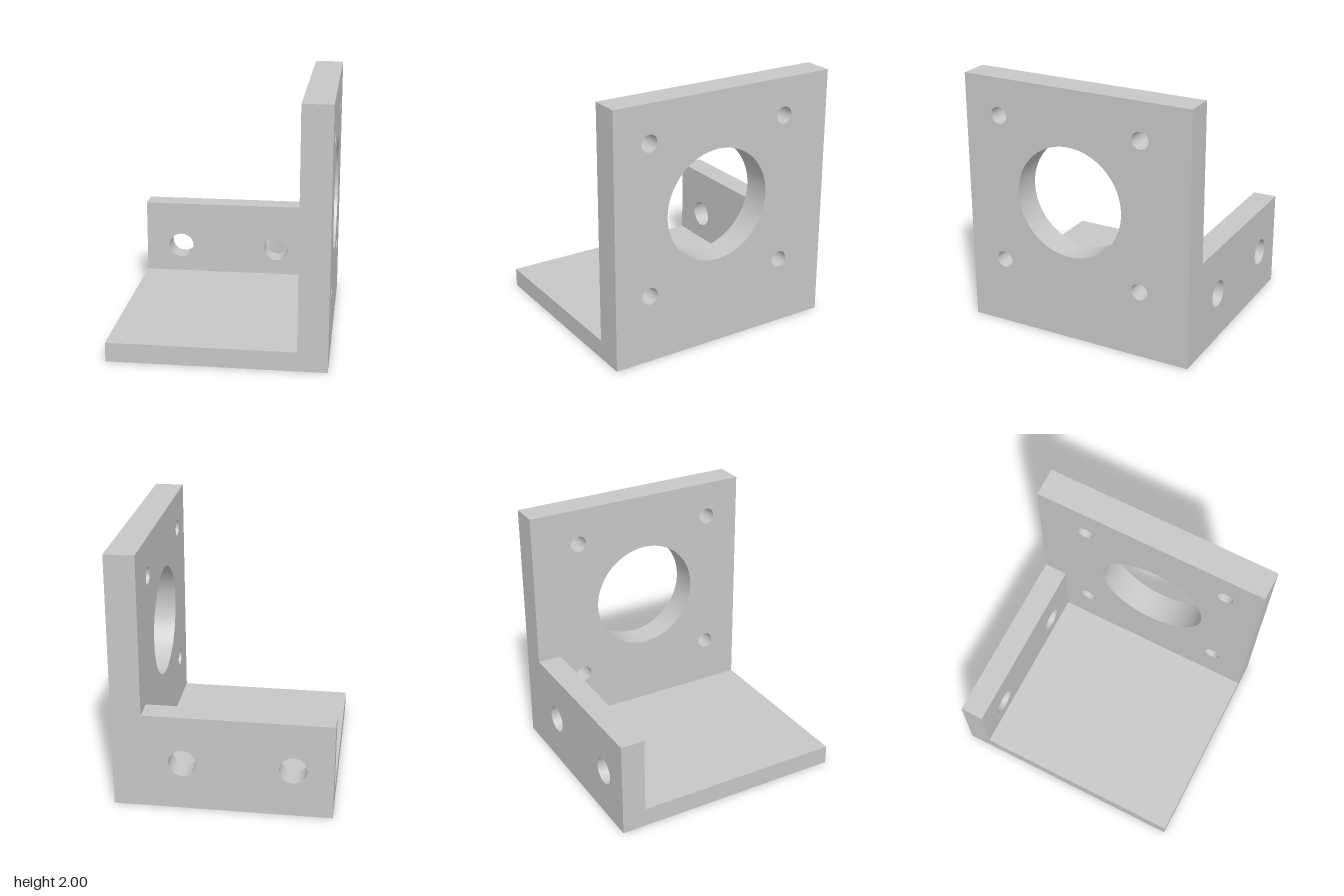
import * as THREE from 'three';
import { toCreasedNormals } from 'three/addons/utils/BufferGeometryUtils.js';

const W = 0.833, D = 0.93;            // half width, half depth
const PLATE = 0.228, WALL = 0.188;    // thicknesses
const BASE_H = 0.15, WALL_H = 0.76, HEIGHT = 2;

// Upright rectangular plate with round holes [u, v, radius]
function drilledPlate(u0, u1, height, depth, holes) {
  const shape = new THREE.Shape([
    new THREE.Vector2(u0, 0), new THREE.Vector2(u1, 0),
    new THREE.Vector2(u1, height), new THREE.Vector2(u0, height),
  ]);
  for (const [u, v, r] of holes) {
    shape.holes.push(new THREE.Path().absarc(u, v, r, 0, Math.PI * 2, true));
  }
  const geo = new THREE.ExtrudeGeometry(shape, { depth, bevelEnabled: false, curveSegments: 48 });
  return toCreasedNormals(geo, 0.6);
}

export function createModel() {
  const group = new THREE.Group();
  group.name = 'motorBracket';
  const lightGrey = new THREE.MeshStandardMaterial({ color: 0xc7c7c7 });
  lightGrey.name = 'lightGrey';

  const add = (name, geo) => {
    const mesh = new THREE.Mesh(geo, lightGrey);
    mesh.name = name;
    group.add(mesh);
    return mesh;
  };

  // Tall mounting plate: central bore and four bolt holes
  const bore = { z: 0.055, y: 1.123 }, spacing = 0.587;
  const plateHoles = [[bore.z, bore.y, 0.437]];
  for (const sz of [-1, 1]) {
    for (const sy of [-1, 1]) {
      plateHoles.push([bore.z + sz * spacing, bore.y + sy * spacing, 0.066]);
    }
  }
  const plate = drilledPlate(-D, D, HEIGHT, PLATE, plateHoles);
  plate.rotateY(-Math.PI / 2);
  add('mountingPlate', plate).position.x = W;

  // Low back wall with two fixing holes
  const inner = W - PLATE;
  const wall = drilledPlate(-W, inner, WALL_H, WALL, [[-0.53, 0.38, 0.105], [0.303, 0.38, 0.105]]);
  add('backWall', wall).position.z = -D;

  // Flat base
  const depth = 2 * D - WALL;
  add('base', new THREE.BoxGeometry(W + inner, BASE_H, depth))
    .position.set((inner - W) / 2, BASE_H / 2, D - depth / 2);

  return group;
}
